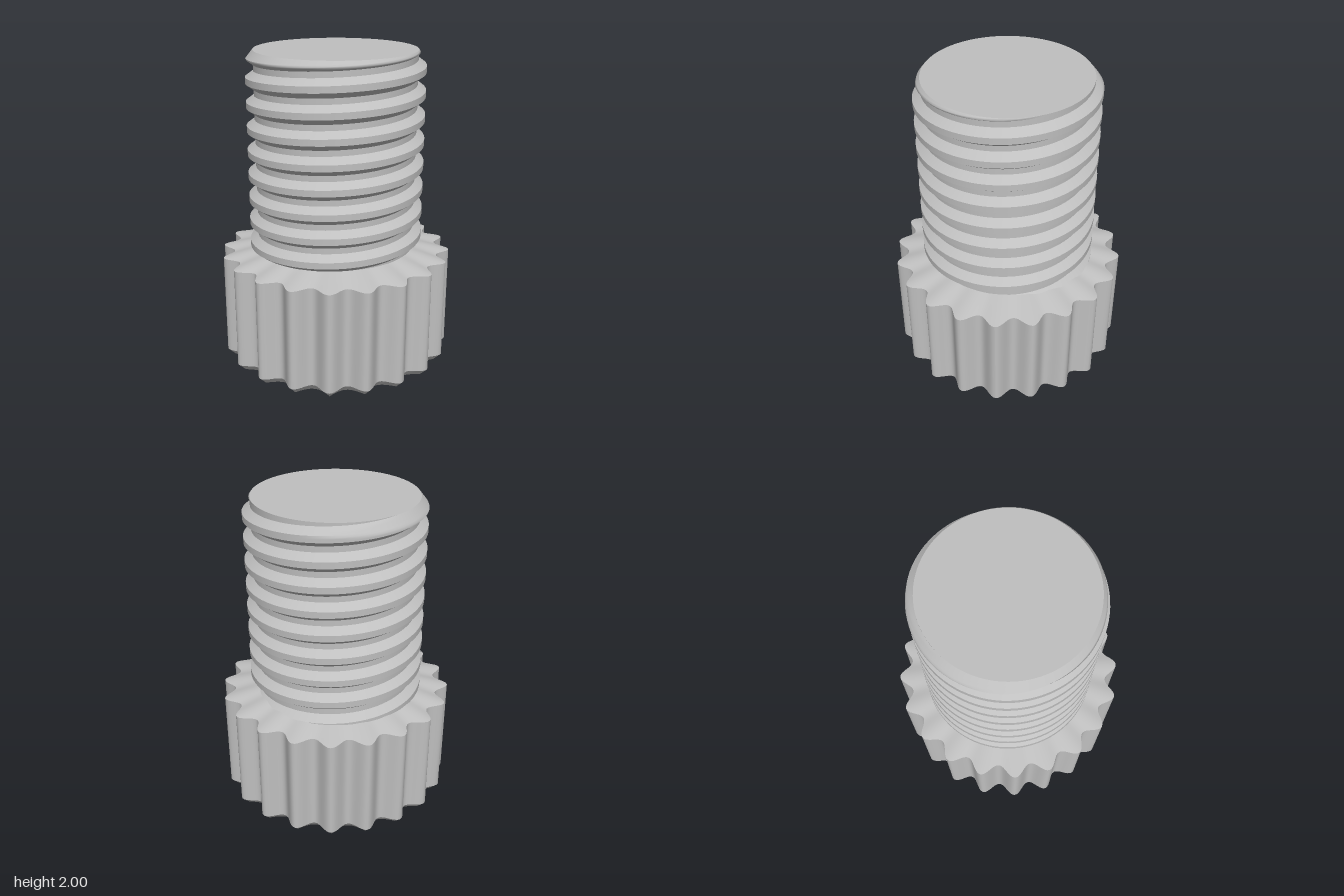
import * as THREE from 'three';

const TAU = Math.PI * 2;
const LOBES = 20, HEAD_SEGS = LOBES * 14;
const PITCH = 0.15, ROOT = 0.505, CREST = 0.555, THREAD_SEGS = 96;
const THREAD_BOTTOM = 0.735, TOP = 2;

// Smooth strip: point(a, v) gives [radius, height], v runs 0..1 upward on the outside
function strip(point, aStart, aEnd, cols, rows) {
  const pos = [], idx = [];
  for (let j = 0; j <= rows; j++) {
    for (let i = 0; i <= cols; i++) {
      const a = aStart + (aEnd - aStart) * i / cols;
      const [r, y] = point(a, j / rows);
      pos.push(r * Math.cos(a), y, -r * Math.sin(a));
      if (i < cols && j < rows) {
        const p = j * (cols + 1) + i, q = p + cols + 1;
        idx.push(p, p + 1, q + 1, p, q + 1, q);
      }
    }
  }
  const g = new THREE.BufferGeometry();
  g.setAttribute('position', new THREE.Float32BufferAttribute(pos, 3));
  g.setIndex(idx);
  g.computeVertexNormals();
  return g;
}

// Scalloped outline of the grip, and its narrower outline below the chamfer
const gripRadius = a => 0.66 + 0.08 * Math.pow((1 + Math.cos(LOBES * a)) / 2, 1.1);
function baseRadius(a) {
  const f = (((a * LOBES / TAU) % 1) + 1) % 1;
  const s = Math.abs(f - 0.5) * 2;
  return 0.62 + 0.07 * s * s;
}

export function createModel() {
  const model = new THREE.Group();
  const steel = new THREE.MeshStandardMaterial({ color: 0xbfbfbf });
  steel.name = 'grey steel';

  const add = (parent, name, geometry) => {
    const mesh = new THREE.Mesh(geometry, steel);
    mesh.name = name;
    parent.add(mesh);
  };

  // Scalloped head, as bands from the centre of the base up to the shank
  const head = new THREE.Group();
  head.name = 'head';
  model.add(head);
  const rings = [
    ['headBase', () => 0, 0],
    ['headChamfer', baseRadius, 0],
    ['headGrip', gripRadius, 0.05],
    ['headShoulder', gripRadius, 0.70],
    ['', () => 0.495, 0.75],
  ];
  for (let k = 0; k < rings.length - 1; k++) {
    const [name, r0, y0] = rings[k], [, r1, y1] = rings[k + 1];
    add(head, name, strip((a, v) => [
      THREE.MathUtils.lerp(r0(a), r1(a), v),
      THREE.MathUtils.lerp(y0, y1, v),
    ], 0, TAU, HEAD_SEGS, 1));
  }

  // Right-handed thread: each face of the trapezoid profile is one helical strip
  const shank = new THREE.Group();
  shank.name = 'shank';
  model.add(shank);
  const profile = [
    [-0.057, ROOT], [-0.02, CREST], [0.02, CREST], [0.057, ROOT], [0.093, ROOT],
  ];
  const names = ['threadUnderside', 'threadCrest', 'threadUpperFlank', 'threadRoot'];
  const radiusAt = d => {
    const m = Math.abs(d - PITCH * Math.round(d / PITCH));
    return THREE.MathUtils.clamp(CREST - (m - 0.02) / 0.037 * (CREST - ROOT), ROOT, CREST);
  };
  const turns = 11;
  for (let k = 0; k < 4; k++) {
    const d0 = profile[k][0], d1 = profile[k + 1][0];
    add(shank, names[k], strip((a, v) => {
      const centre = 0.537 + PITCH * a / TAU;
      const d = THREE.MathUtils.lerp(d0, d1, v);
      const y = THREE.MathUtils.clamp(centre + d, THREAD_BOTTOM, TOP);
      // chamfer the last turn towards the end face
      return [Math.min(radiusAt(y - centre), ROOT + (TOP - y) * 0.8), y];
    }, 0, turns * TAU, turns * THREAD_SEGS, 4));
  }

  // Flat end face
  const end = new THREE.CircleGeometry(ROOT, THREAD_SEGS);
  end.rotateX(-Math.PI / 2);
  end.translate(0, TOP, 0);
  add(shank, 'endFace', end);

  return model;
}
